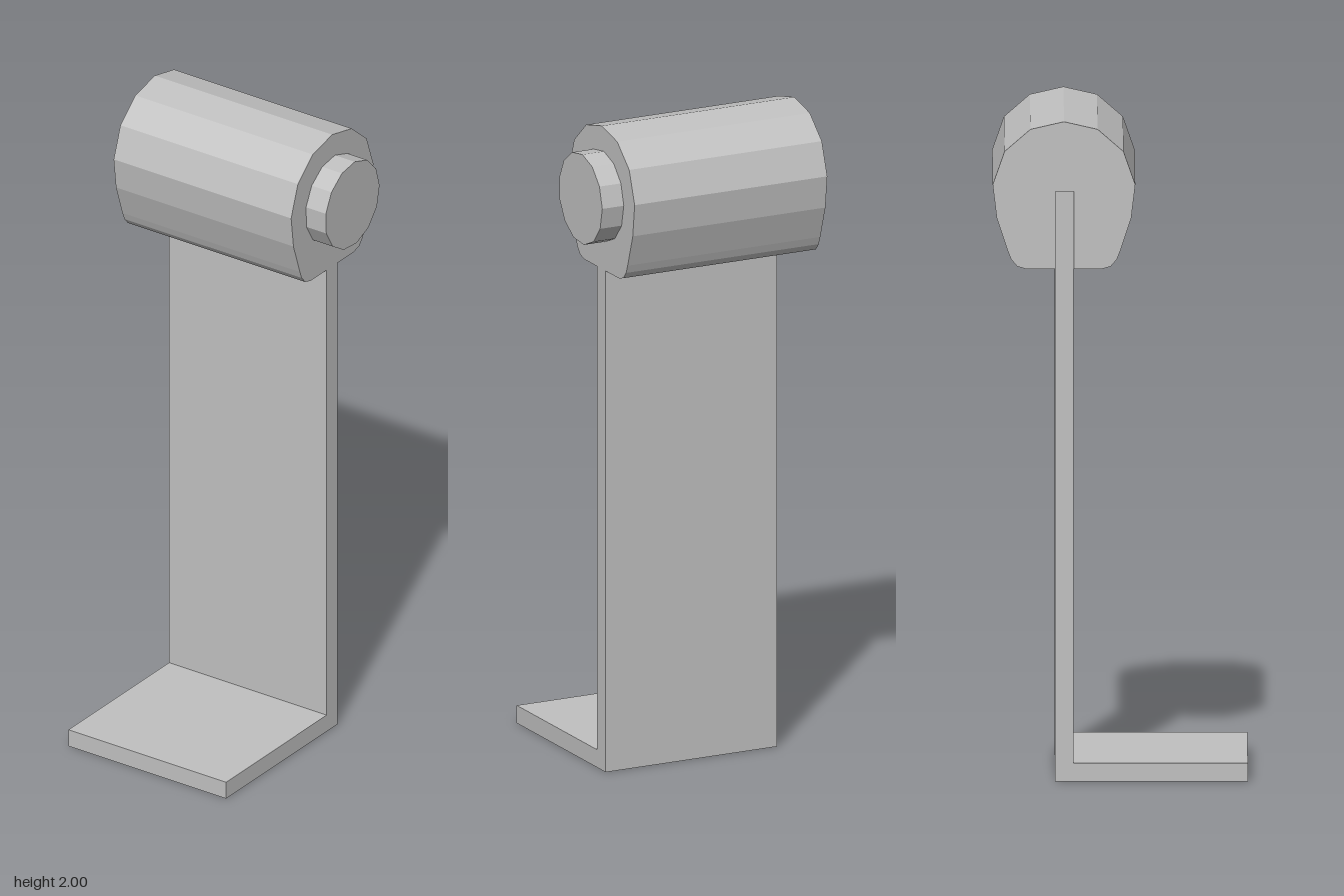
import * as THREE from 'three';

const AXIS_Z = -0.167; // depth of the barrel's axis
const RIGHT_END = 0.286;

// Extrude a [z, y] profile along x between two ends
function extrudeAlongX(profile, x0, x1) {
  const shape = new THREE.Shape(profile.map(([z, y]) => new THREE.Vector2(-z, y)));
  const geo = new THREE.ExtrudeGeometry(shape, { depth: x1 - x0, bevelEnabled: false });
  geo.rotateY(Math.PI / 2);
  geo.translate(x0, 0, 0);
  return geo;
}

export function createModel() {
  const model = new THREE.Group();
  const grey = new THREE.MeshStandardMaterial({ color: 0xc0c0c0, flatShading: true });
  grey.name = 'plain grey';

  const add = (name, geo) => {
    const mesh = new THREE.Mesh(geo, grey);
    mesh.name = name;
    model.add(mesh);
  };

  // L-shaped bracket: foot plate and upright, which reaches into the barrel's slot
  const back = -0.193, front = -0.138, slotTop = 1.79;
  add('bracket', extrudeAlongX([
    [back, 0], [0.38, 0], [0.38, 0.055], [front, 0.055], [front, slotTop], [back, slotTop],
  ], -0.288, RIGHT_END));

  // Faceted barrel: half profile from the top down to the rounded lower corner
  const half = [
    [0.1, 1.977], [0.177, 1.91], [0.212, 1.81], [0.2, 1.71],
    [0.167, 1.61], [0.157, 1.585], [0.139, 1.564], [0.112, 1.556],
  ];
  const frontSide = half.map(([w, y]) => [AXIS_Z + w, y]);
  const backSide = half.map(([w, y]) => [AXIS_Z - w, y]).reverse();
  add('barrel', extrudeAlongX([
    [AXIS_Z, 2], ...frontSide,
    [front, 1.556], [front, slotTop], [back, slotTop], [back, 1.556],
    ...backSide,
  ], -0.36, RIGHT_END));

  // Thirteen-sided end knob
  const knobLength = 0.072;
  const knob = new THREE.CylinderGeometry(0.14, 0.14, knobLength, 13, 1, false,
    THREE.MathUtils.degToRad(-95));
  knob.rotateZ(-Math.PI / 2);
  knob.translate(RIGHT_END + knobLength / 2, 1.785, -0.169);
  add('endKnob', knob);

  return model;
}
